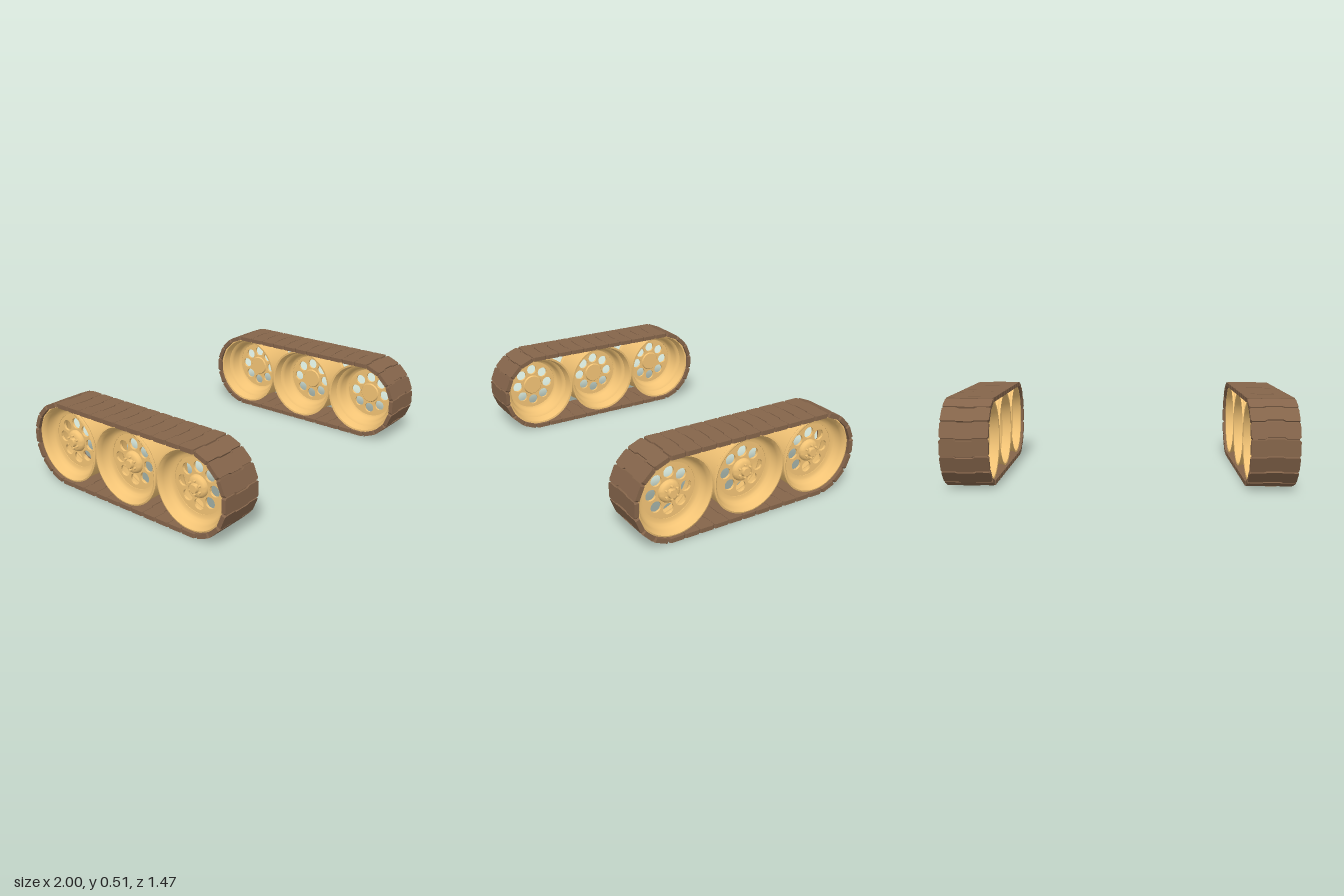
import * as THREE from 'three';
import { toCreasedNormals } from 'three/addons/utils/BufferGeometryUtils.js';

const TAN = new THREE.MeshStandardMaterial({ color: 0xf2c375, side: THREE.DoubleSide });
const BROWN = new THREE.MeshStandardMaterial({ color: 0x84644a });

const AXLE_Y = 0.2555, SPACING = 0.475, END_Z = 0.479;
const PITCH = 0.095, PLATE_W = 0.275, PLATE_T = 0.026, APOTHEM = 0.2425;

function add(parent, name, geometry, material) {
  const mesh = new THREE.Mesh(geometry, material);
  mesh.name = name;
  parent.add(mesh);
  return mesh;
}

// Surface of revolution about the axle from (radius, position) pairs
function turned(section, sides) {
  const points = section.map(([r, a]) => new THREE.Vector2(r, a));
  return toCreasedNormals(new THREE.LatheGeometry(points, sides), 0.7).rotateZ(-Math.PI / 2);
}

// Link plate: chamfered corners, a tab on the leading edge, a notch on the trailing one
function plateGeometry() {
  const w = PLATE_W / 2, h = PITCH / 2 - 0.001, c = 0.008, tab = 0.01;
  const outline = [
    [-w + c, -h], [-0.06, -h], [-0.045, -h + tab], [0.045, -h + tab], [0.06, -h],
    [w - c, -h], [w, -h + c], [w, h - c], [w - c, h],
    [0.055, h], [0.041, h + tab - 0.004], [-0.041, h + tab - 0.004], [-0.055, h],
    [-w + c, h], [-w, h - c], [-w, -h + c],
  ].map(([x, y]) => new THREE.Vector2(x, y));
  const g = new THREE.ExtrudeGeometry(new THREE.Shape(outline), { depth: PLATE_T, bevelEnabled: false });
  return g.translate(0, 0, -PLATE_T / 2);
}

// Wheel disc pierced by eight round holes
function discGeometry() {
  const shape = new THREE.Shape().absarc(0, 0, 0.166, 0, Math.PI * 2);
  for (let i = 0; i < 8; i++) {
    const a = i * Math.PI / 4;
    shape.holes.push(new THREE.Path().absarc(0.109 * Math.cos(a), 0.109 * Math.sin(a), 0.033, 0, Math.PI * 2, true));
  }
  const g = new THREE.ExtrudeGeometry(shape, { depth: 0.014, bevelEnabled: false, curveSegments: 32 });
  return toCreasedNormals(g, 0.6).rotateY(Math.PI / 2).translate(0.028, 0, 0);
}

// Rim: lipped barrel, dished outer face, stepped inner bowl
const rim = turned([
  [0.235, -0.12], [0.235, -0.108], [0.228, -0.1], [0.228, 0.096], [0.235, 0.104], [0.235, 0.116],
  [0.226, 0.119], [0.217, 0.112], [0.21, 0.09], [0.204, 0.068], [0.192, 0.053], [0.18, 0.047], [0.164, 0.045],
  [0.164, 0.026], [0.177, 0.02], [0.184, 0.008], [0.188, -0.04], [0.195, -0.055],
  [0.21, -0.064], [0.215, -0.09], [0.223, -0.118], [0.235, -0.12],
], 64);
const disc = discGeometry();

// Hub: shallow cone rising to a flat boss with a hexagonal centre cap
const hub = turned([
  [0, 0.02], [0.06, 0.02], [0.066, 0.028], [0.066, 0.048], [0.06, 0.06],
  [0.05, 0.068], [0.03, 0.07], [0, 0.07],
], 40);
const cap = new THREE.CylinderGeometry(0.026, 0.03, 0.022, 6).rotateZ(-Math.PI / 2);
const bolt = new THREE.CylinderGeometry(0.007, 0.007, 0.02, 8).rotateZ(-Math.PI / 2);

const plate = plateGeometry();
const hinge = new THREE.BoxGeometry(PLATE_W - 0.016, 0.026, 0.012);

function createWheel() {
  const wheel = new THREE.Group();
  wheel.name = 'roadWheel';
  add(wheel, 'wheelRim', rim, TAN);
  add(wheel, 'wheelDisc', disc, TAN);
  add(wheel, 'wheelHub', hub, TAN);
  add(wheel, 'hubCap', cap, TAN).position.x = 0.08;
  for (let i = 0; i < 6; i++) {
    const a = i * Math.PI / 3;
    add(wheel, 'hubBolt', bolt, TAN).position.set(0.076, 0.039 * Math.cos(a), 0.039 * Math.sin(a));
  }
  return wheel;
}

// Closed belt: straight runs above and below, seven plates round each end
function createBelt() {
  const belt = new THREE.Group();
  belt.name = 'trackBelt';
  const place = (z, angle) => {
    const link = new THREE.Group();
    link.name = 'trackLink';
    add(link, 'trackPlate', plate, BROWN);
    add(link, 'hingeBar', hinge, BROWN).position.set(0, -PITCH / 2, -0.003);
    link.position.set(0, AXLE_Y + APOTHEM * Math.cos(angle), z + APOTHEM * Math.sin(angle));
    link.rotation.x = angle - Math.PI / 2;
    belt.add(link);
  };
  for (let k = -5; k <= 5; k++) {
    place(k * PITCH, 0);
    place(k * PITCH, Math.PI);
  }
  for (let i = 1; i <= 7; i++) {
    const a = i * Math.PI / 8;
    place(END_Z, a);
    place(-END_Z, a + Math.PI);
  }
  return belt;
}

export function createModel() {
  const model = new THREE.Group();
  model.name = 'trackPair';
  for (const side of [1, -1]) {
    const track = new THREE.Group();
    track.name = side > 0 ? 'leftTrack' : 'rightTrack';
    track.add(createBelt());
    for (const i of [-1, 0, 1]) {
      const wheel = createWheel();
      wheel.position.set(0, AXLE_Y + 0.003, i * SPACING);
      track.add(wheel);
    }
    track.position.x = side * (1 - PLATE_W / 2);
    track.rotation.y = side > 0 ? 0 : Math.PI;
    model.add(track);
  }
  return model;
}
